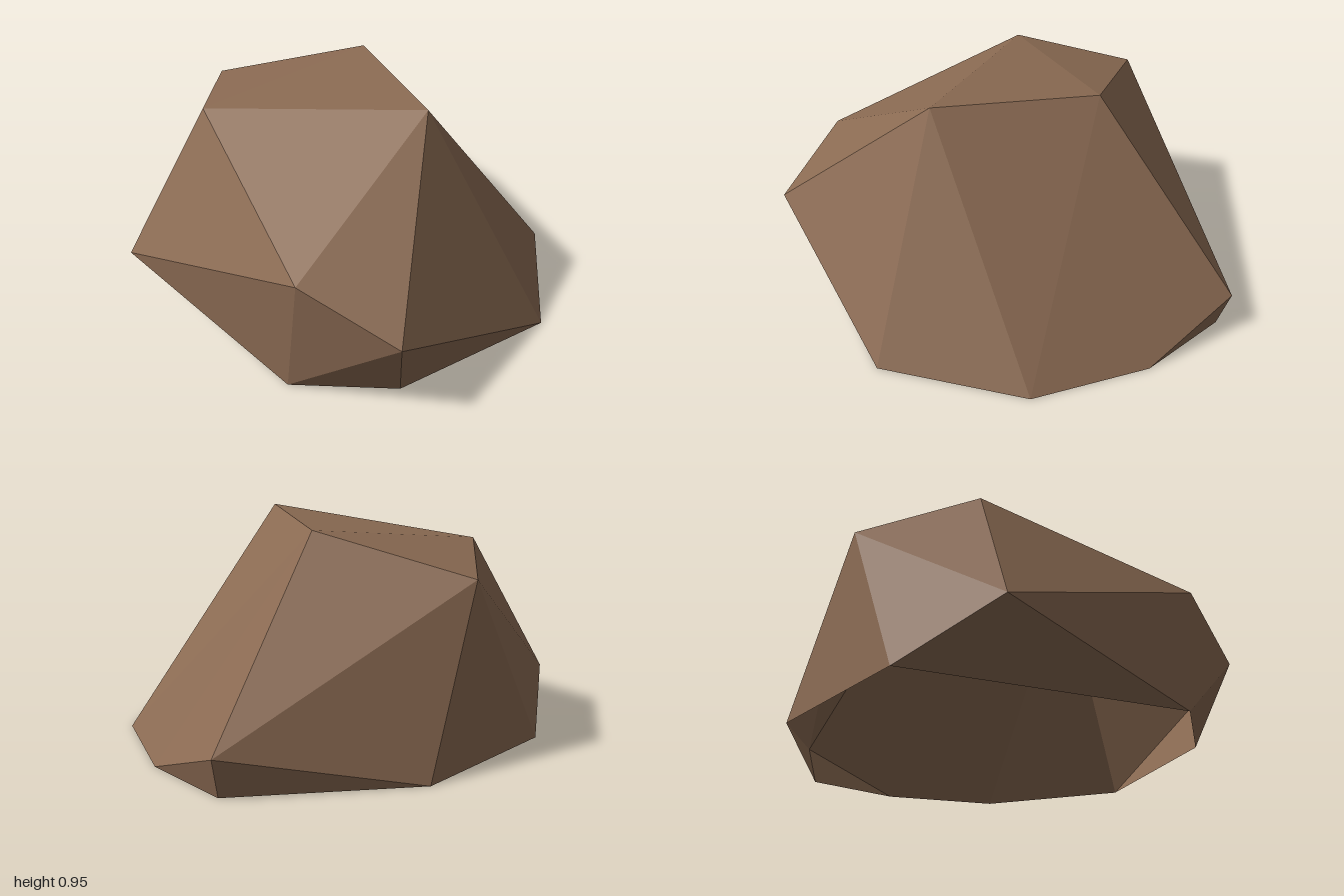
import * as THREE from 'three';
import { ConvexGeometry } from 'three/addons/geometries/ConvexGeometry.js';

// Corner points of the boulder, from the ground upwards
const ground = [
  [0.39, 0.82], [0.91, 0.3], [0.84, -0.35], [0.51, -0.75],
  [0.14, -0.95], [-0.59, -0.6], [-0.915, 0.06], [-0.05, 0.9],
].map(([x, z]) => [x, 0, z]);
const waist = [[0.42, 0.37, 1], [0.01, 0.54, 0.94], [-0.88, 0.21, 0.49], [0.14, 0.17, -1]];
const crown = [[0.37, 0.955, 0.26], [-0.02, 0.925, -0.33], [-0.69, 0.75, -0.27], [-0.58, 0.84, 0.25]];

// Faceted hull around the points, left open where it rests on the ground
function openHull(points) {
  const hull = new ConvexGeometry(points.map((p) => new THREE.Vector3(...p)));
  const src = hull.attributes.position.array;
  const kept = [];
  for (let i = 0; i < src.length; i += 9) {
    const onGround = [1, 4, 7].every((k) => Math.abs(src[i + k]) < 1e-4);
    if (!onGround) kept.push(...src.slice(i, i + 9));
  }
  const geometry = new THREE.BufferGeometry();
  geometry.setAttribute('position', new THREE.Float32BufferAttribute(kept, 3));
  geometry.computeVertexNormals();
  return geometry;
}

export function createModel() {
  const stone = new THREE.MeshStandardMaterial({
    color: 0x8a6a52, flatShading: true, side: THREE.DoubleSide,
  });
  stone.name = 'brown stone';

  const boulder = new THREE.Mesh(openHull([...ground, ...waist, ...crown]), stone);
  boulder.name = 'boulder';

  const model = new THREE.Group();
  model.name = 'rock';
  model.add(boulder);
  return model;
}
